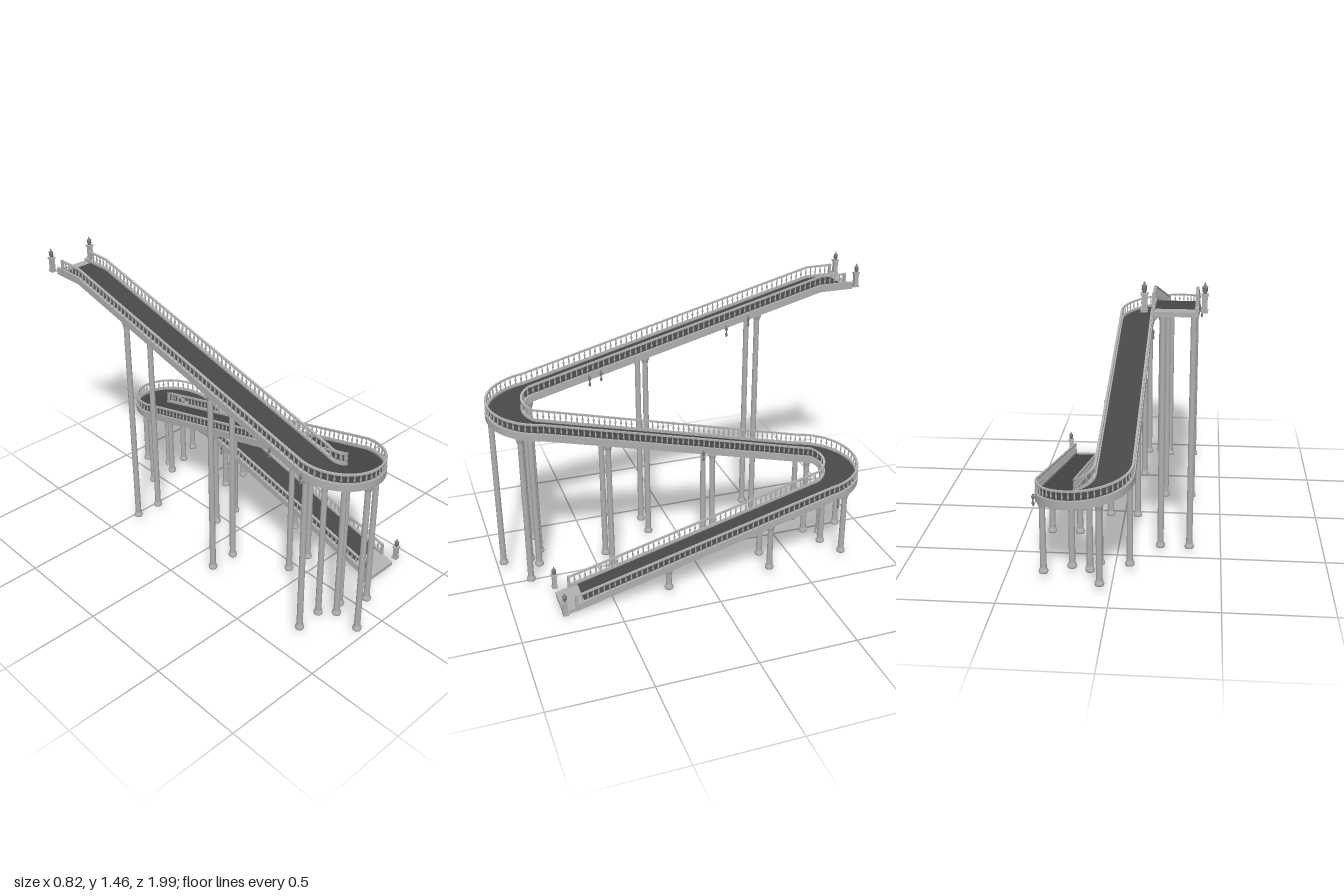
import * as THREE from 'three';
import { mergeGeometries } from 'three/addons/utils/BufferGeometryUtils.js';

const mat = (name, color) => Object.assign(new THREE.MeshStandardMaterial({ color }), { name });
const R = 0.137; // centreline radius of both bends

// Route pieces: horizontal length, underside height at both ends, point and sideways normal
const straight = (x, z0, z1, y0, y1) => {
  const d = Math.sign(z1 - z0);
  return { len: Math.abs(z1 - z0), y0, y1, f: t => [x, z0 + (z1 - z0) * t, d, 0] };
};
const bend = (cx, cz, d, y0, y1) => ({
  len: Math.PI * R, y0, y1, curved: true,
  f: t => {
    const c = Math.cos(t * Math.PI), s = Math.sin(t * Math.PI);
    return [cx - R * c, cz + d * R * s, d * c, -s];
  },
});
const route = [
  straight(-0.277, -0.985, -0.8, 1.315, 1.315),
  straight(-0.277, -0.8, 0.763, 1.315, 0.915),
  bend(-0.14, 0.763, 1, 0.915, 0.83),
  straight(-0.003, 0.763, -0.663, 0.83, 0.465),
  bend(0.134, -0.663, -1, 0.465, 0.375),
  straight(0.271, -0.663, 0.768, 0.375, 0),
];
let total = 0;
const stops = [];
for (const p of route) {
  p.s = total;
  const n = p.curved ? 28 : 1;
  for (let i = 0; i < n; i++) stops.push(total + p.len * i / n);
  total += p.len;
}
stops.push(total);

// Point at distance s along the route
function at(s) {
  const p = route.findLast(q => s >= q.s - 1e-9) ?? route[0];
  const t = Math.min(1, Math.max(0, (s - p.s) / p.len));
  const [x, z, nx, nz] = p.f(t);
  return { x, z, nx, nz, y: p.y0 + (p.y1 - p.y0) * t };
}
const place = (s, o, dy) => {
  const p = at(s);
  return [p.x + p.nx * o, p.y + dy, p.z + p.nz * o];
};

// Sweep a rectangle (sideways o0..o1, height h0..h1) along the route
function sweep(o0, o1, h0, h1, s0 = 0, s1 = total) {
  const ss = [s0, ...stops.filter(s => s > s0 + 1e-4 && s < s1 - 1e-4), s1];
  const sec = [[o0, h0], [o1, h0], [o1, h1], [o0, h1]];
  const pos = [], idx = [];
  for (let j = 0; j < 4; j++) {
    const a = sec[j], b = sec[(j + 1) % 4], base = pos.length / 3;
    ss.forEach((s, i) => {
      pos.push(...place(s, ...a), ...place(s, ...b));
      if (i) {
        const k = base + 2 * i;
        idx.push(k - 2, k - 1, k + 1, k - 2, k + 1, k);
      }
    });
  }
  for (const [s, order] of [[s0, [3, 2, 1, 0]], [s1, [0, 1, 2, 3]]]) {
    const k = pos.length / 3;
    order.forEach(j => pos.push(...place(s, ...sec[j])));
    idx.push(k, k + 1, k + 2, k, k + 2, k + 3);
  }
  const g = new THREE.BufferGeometry();
  g.setAttribute('position', new THREE.Float32BufferAttribute(pos, 3));
  g.setIndex(idx);
  g.computeVertexNormals();
  return g;
}

const lathe = (pts, sides) => new THREE.LatheGeometry(pts.map(p => new THREE.Vector2(...p)), sides);

export function createModel() {
  const concrete = mat('concrete', 0xb0b0b0);
  const asphalt = mat('asphalt', 0x484848);
  const iron = mat('iron', 0x7c7c7c);
  const group = new THREE.Group();
  const add = (name, geometry, material, parent = group) => {
    const m = new THREE.Mesh(geometry, material);
    m.name = name;
    parent.add(m);
    return m;
  };

  // Deck slab, dark roadway and light end aprons
  add('deck', sweep(-0.0925, 0.0925, 0, 0.02), concrete);
  add('roadway', sweep(-0.081, 0.081, 0.019, 0.024, 0.055, total - 0.112), asphalt);

  // Curbs, handrails and balusters on both sides
  const railStart = 0.045, railEnd = total - 0.065;
  const baluster = lathe([[0.0035, 0], [0.0025, 0.01], [0.0055, 0.019], [0.0025, 0.033], [0.004, 0.045]], 6);
  for (const side of [-1, 1]) {
    const name = side < 0 ? 'outer' : 'inner';
    const strip = (a, b, ...rest) => sweep(Math.min(side * a, side * b), Math.max(side * a, side * b), ...rest);
    add(name + 'Curb', strip(0.08, 0.0945, -0.001, 0.036, railStart - 0.04, railEnd), concrete);
    add(name + 'Handrail', strip(0.081, 0.0925, 0.078, 0.086, railStart, railEnd), concrete);
    // Space balusters by the true edge length, which differs in bends
    const parts = [];
    let run = 1;
    let last = place(railStart, side * 0.087, 0);
    for (let s = railStart + 0.004; s < railEnd; s += 0.002) {
      const p = place(s, side * 0.087, 0.035);
      run += Math.hypot(p[0] - last[0], p[2] - last[2]);
      last = p;
      if (run >= 0.027) {
        parts.push(baluster.clone().translate(...p));
        run = 0;
      }
    }
    add(name + 'Balusters', mergeGeometries(parts), concrete);
    // Square end posts
    for (const s of [railStart + 0.004, railEnd - 0.004]) {
      const [x, y, z] = place(s, side * 0.087, 0.043);
      add(name + 'EndPost', new THREE.BoxGeometry(0.013, 0.088, 0.013), concrete).position.set(x, y, z);
    }
  }

  // Paired round pillars: [route piece, fraction along it]
  const [, ramp1, bend1, ramp2, bend2, ramp3] = route;
  const onRamp = (p, z) => p.s + p.len * (z - p.f(0)[1]) / (p.f(1)[1] - p.f(0)[1]);
  const onBend = (p, deg) => p.s + p.len * deg / 180;
  const pillarStations = [
    onRamp(ramp1, -0.45), onRamp(ramp1, 0.16),
    onBend(bend1, 3), onBend(bend1, 86), onBend(bend1, 151),
    onRamp(ramp2, 0.44), onRamp(ramp2, -0.11), onRamp(ramp2, -0.65),
    onBend(bend2, 66), onBend(bend2, 154),
    onRamp(ramp3, -0.33), onRamp(ramp3, 0.22),
  ];
  for (const s of pillarStations) for (const o of [-0.07, 0.07]) {
    const [x, h, z] = place(s, o, 0.006);
    const shaft = lathe([
      [0, 0.03], [0.021, 0.03], [0.023, 0.036], [0.021, 0.046], [0.0165, 0.052], [0.0155, 0.06],
      [0.014, h - 0.04], [0.017, h - 0.035], [0.015, h - 0.03], [0.022, h - 0.016], [0.022, h], [0, h],
    ], 14);
    add('pillar', shaft, concrete).position.set(x, 0, z);
  }

  // Pedestals with finials beside both ends
  for (const [x, y, z] of [[-0.395, 1.335, -0.985], [-0.155, 1.335, -0.985], [0.15, 0.03, 0.765], [0.392, 0.03, 0.765]]) {
    const post = new THREE.Group();
    post.name = 'gatePost';
    post.position.set(x, y, z);
    for (const [w, h, cy] of [[0.028, 0.012, 0.006], [0.022, 0.062, 0.04], [0.03, 0.008, 0.074]])
      add('pedestal', new THREE.BoxGeometry(w, h, w), concrete, post).position.y = cy;
    add('finial', lathe([[0.007, 0.078], [0.007, 0.084], [0.011, 0.088], [0.01, 0.102], [0.013, 0.104], [0.004, 0.113], [0.003, 0.12], [0, 0.125]], 8), iron, post);
    group.add(post);
  }

  // Small hanging lanterns along the deck edges: [x, z, top height, outward x]
  const lamp = lathe([[0, -0.06], [0.005, -0.055], [0.007, -0.045], [0.003, -0.036], [0.003, -0.028], [0.008, -0.02], [0.006, -0.008], [0, 0]], 8);
  for (const [x, z, y, d] of [
    [-0.174, -0.39, 1.235, 1], [-0.174, -0.27, 1.195, 1], [-0.174, 0.4, 1.04, 1], [-0.174, 0.46, 1.02, 1],
    [-0.105, 0.66, 0.83, -1], [-0.379, 0.58, 0.985, -1], [-0.379, 0.77, 0.94, -1],
    [0.098, -0.05, 0.645, 1], [0.169, -0.33, 0.31, -1], [0.372, -0.69, 0.395, 1],
  ]) {
    add('lantern', lamp, iron).position.set(x, y, z);
    add('lanternBracket', new THREE.BoxGeometry(0.016, 0.004, 0.004), iron).position.set(x - d * 0.006, y - 0.004, z);
  }
  return group;
}
